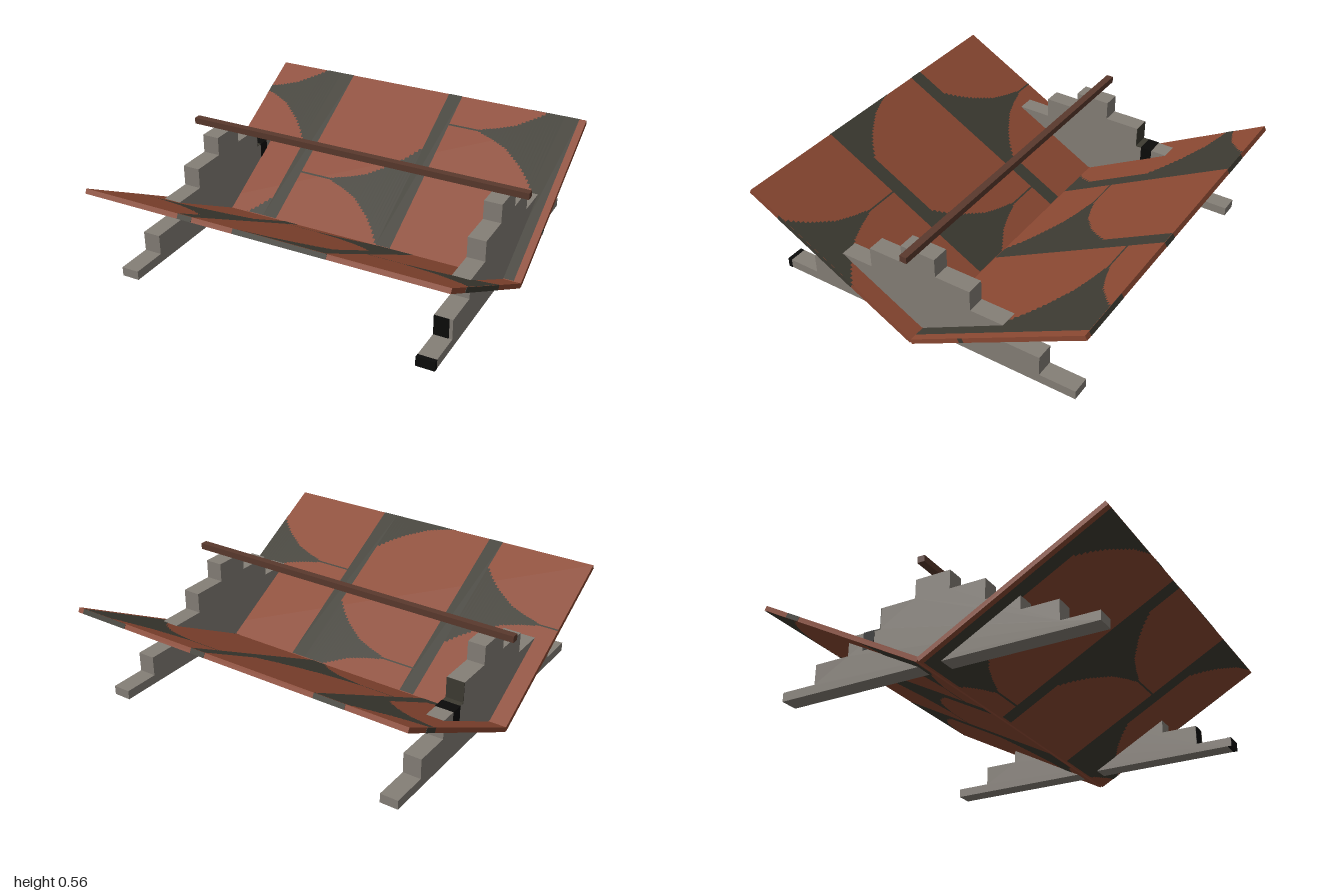
import * as THREE from 'three';
import { mergeGeometries } from 'three/addons/utils/BufferGeometryUtils.js';

const mat = (name, color) => Object.assign(new THREE.MeshStandardMaterial({ color }), { name });
const clay = mat('clay', 0x8b4832);
const mortar = mat('mortar', 0x3d3b32);
const stone = mat('stone', 0x857f77);
const wood = mat('darkWood', 0x5a392d);
const soot = mat('soot', 0x0b0b0a);

const HALF = 0.985, LENGTH = 1.12, THICK = 0.026;
const ANGLE = Math.asin(0.48), COS = Math.cos(ANGLE);
const BAR = 0.085, TILE = 0.64, STEP = 0.0185;

function box(name, material, x0, x1, y0, y1, z0, z1) {
  const mesh = new THREE.Mesh(new THREE.BoxGeometry(x1 - x0, y1 - y0, z1 - z0), material);
  mesh.position.set((x0 + x1) / 2, (y0 + y1) / 2, (z0 + z1) / 2);
  mesh.name = name;
  return mesh;
}

// Half-width of the mortar wedge at distance d from its vertical bar
const PROFILE = [[0, 0.245], [0.06, 0.185], [0.13, 0.13], [0.25, 0.06], [0.35, 0.028], [0.42, 0.012], [0.44, 0.004], [1, 0.004]];
function wedge(d) {
  const i = PROFILE.findIndex((p) => p[0] > d);
  const [a, b] = [PROFILE[i - 1], PROFILE[i]];
  return THREE.MathUtils.lerp(a[1], b[1], (d - a[0]) / (b[0] - a[0]));
}

// Mortar pattern: full-length bars, each with stepped wedges along the tile joints
function mortarPattern(name, up, { dir, scale, columns }) {
  const quads = [];
  const add = (x0, x1, z0, z1) => {
    [x0, x1] = [x0, x1].map((x) => THREE.MathUtils.clamp(x, -HALF, HALF));
    const [u0, u1] = [z0, z1].map((z) => THREE.MathUtils.clamp(z / COS, 0.01, LENGTH));
    if (x1 - x0 < 1e-4 || u1 - u0 < 1e-4) return;
    const q = new THREE.PlaneGeometry(x1 - x0, u1 - u0);
    q.rotateX(up ? -Math.PI / 2 : Math.PI / 2);
    q.translate((x0 + x1) / 2, (up ? 1 : -1) * (THICK / 2 + 0.0015), (u0 + u1) / 2);
    quads.push(q);
  };
  for (const [edge, joints] of columns) {
    add(Math.min(edge, edge - dir * BAR), Math.max(edge, edge - dir * BAR), 0, 1.1);
    for (const joint of joints) {
      for (let d = 0; d < TILE; d += STEP) {
        const a = edge + dir * d, b = edge + dir * (d + STEP);
        const h = wedge(d + STEP / 2) * scale;
        add(Math.min(a, b), Math.max(a, b), joint - h, joint + h);
      }
    }
  }
  const mesh = new THREE.Mesh(mergeGeometries(quads), mortar);
  mesh.name = name;
  return mesh;
}

// Sloping tiled panel rising away from the central valley
function tiledPanel(name, top, under, endMarks, sideMarks) {
  const panel = new THREE.Group();
  panel.name = name;
  panel.add(box('panelSlab', clay, -HALF, HALF, -THICK / 2, THICK / 2, 0, LENGTH));
  panel.add(mortarPattern('upperMortar', true, top), mortarPattern('lowerMortar', false, under));
  const t = THICK / 2;
  for (const [a, b] of endMarks) panel.add(box('endMortar', mortar, a, b, -t, t, LENGTH - 0.002, LENGTH + 0.0015));
  for (const [side, a, b] of sideMarks) {
    const x = side * HALF;
    panel.add(box('sideMortar', mortar, x - 0.0015, x + 0.0015, -t, t, a / COS, b / COS));
  }
  panel.rotation.x = -ANGLE;
  panel.position.y = 0.0115;
  return panel;
}

// Stepped gable wall
const STEPS = [[0.89, 0.08], [0.69, 0.19], [0.49, 0.295], [0.3, 0.41], [0.1, 0.515]];
function gable(name, x0, x1) {
  const half = [];
  let y = 0.03;
  for (const [z, top] of STEPS) {
    half.push([z, y], [z, top]);
    y = top;
  }
  const outline = [...half, ...half.map(([z, h]) => [-z, h]).reverse()];
  const shape = new THREE.Shape(outline.map(([z, h]) => new THREE.Vector2(z, h)));
  const geo = new THREE.ExtrudeGeometry(shape, { depth: x1 - x0, bevelEnabled: false });
  geo.rotateY(-Math.PI / 2); // shape x becomes +z, depth runs toward -x
  geo.translate(x1, 0, 0);
  const mesh = new THREE.Mesh(geo, stone);
  mesh.name = name;
  return mesh;
}

export function createModel() {
  const model = new THREE.Group();
  model.name = 'valleyRoof';

  const front = tiledPanel('frontPanel',
    { dir: -1, scale: 1, columns: [[-0.43, [0.57]], [0.29, [0.14, 1.0]], [1.02, [0.57]]] },
    { dir: 1, scale: 1.1, columns: [[0.58, [0.09, 1.01]], [-0.145, [0.55]], [-0.87, [0.09, 1.01]]] },
    [[-0.43, -0.35], [-0.12, 0.38]], [[1, 0.36, 0.81]]);

  const back = tiledPanel('backPanel',
    { dir: 1, scale: 1.25, columns: [[0.58, [-0.18, 0.79]], [-0.145, [0.31, 1.28]], [-0.86, [-0.18, 0.79]]] },
    { dir: -1, scale: 1.05, columns: [[-0.43, [0.12, 0.98]], [0.29, [0.55]], [1.02, [0.12, 0.98]]] },
    [[0.49, 0.66], [-0.23, -0.145], [-0.95, -0.66]], [[-1, 0.295, 0.32], [1, 0.75, 0.83]]);
  const backTurn = new THREE.Group();
  backTurn.name = 'backSide';
  backTurn.rotation.y = Math.PI;
  backTurn.add(back);
  model.add(front, backTurn);

  // Gable walls and ridge beam
  model.add(gable('leftGable', 0.79, 0.888), gable('rightGable', -0.888, -0.79));
  model.add(box('ridgeBeam', wood, -0.995, 0.995, 0.53, 0.565, -0.02, 0.02));

  // Blackened patches on the stonework
  model.add(
    box('sootFoot', soot, 0.79, 0.889, 0.0295, 0.081, 0.868, 0.892),
    box('sootRiser', soot, 0.79, 0.87, 0.08, 0.19, 0.688, 0.692),
    box('sootBand', soot, -0.89, -0.788, 0.2, 0.297, -0.4, -0.335),
    box('darkRiser', mortar, -0.888, -0.79, 0.297, 0.409, -0.303, -0.299),
    box('darkStep', mortar, -0.888, -0.79, 0.29, 0.297, -0.335, -0.3),
  );
  return model;
}
